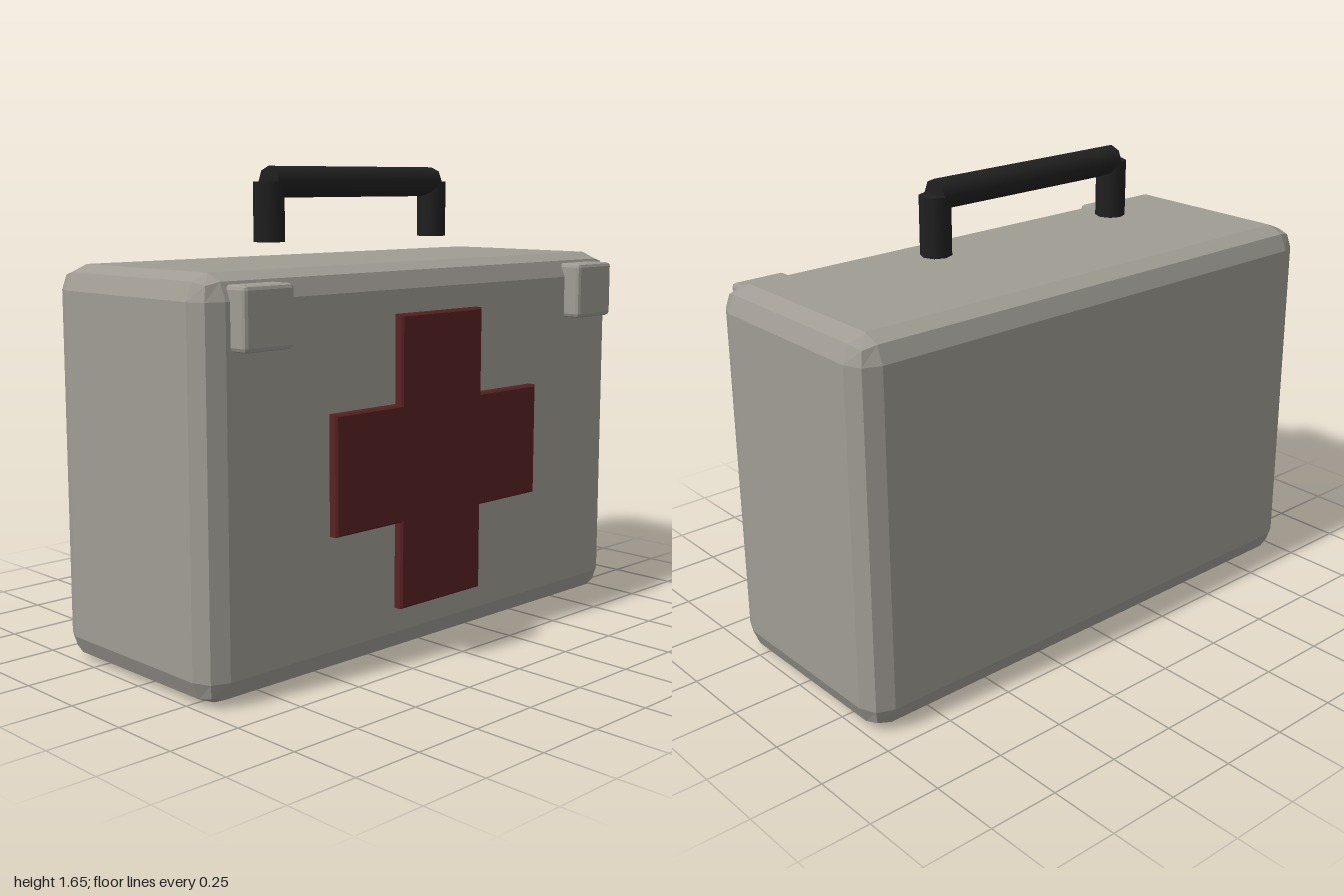
import * as THREE from 'three';
import { RoundedBoxGeometry } from 'three/addons/geometries/RoundedBoxGeometry.js';

export function createModel() {
  const caseGrey = new THREE.MeshStandardMaterial({ color: 0xa09c94, flatShading: true });
  caseGrey.name = 'case grey';
  const crossRed = new THREE.MeshStandardMaterial({ color: 0x582224, flatShading: true });
  crossRed.name = 'cross red';
  const handleBlack = new THREE.MeshStandardMaterial({ color: 0x202020 });
  handleBlack.name = 'handle black';

  const model = new THREE.Group();
  model.name = 'medicalCase';

  const add = (name, geometry, material, x, y, z, parent = model) => {
    const mesh = new THREE.Mesh(geometry, material);
    mesh.name = name;
    mesh.position.set(x, y, z);
    parent.add(mesh);
    return mesh;
  };

  // Case with two-step chamfered edges
  add('caseBody', new RoundedBoxGeometry(2, 1.333, 0.8, 1, 0.083), caseGrey, 0, 0.667, -0.033);

  // Raised cross on the front
  const a = 0.193, b = 0.493, bevel = 0.007;
  const outline = [[a, b], [-a, b], [-a, a], [-b, a], [-b, -a], [-a, -a],
    [-a, -b], [a, -b], [a, -a], [b, -a], [b, a], [a, a]];
  const cross = new THREE.Shape(outline.map(([x, y]) => new THREE.Vector2(x, y)));
  const crossGeometry = new THREE.ExtrudeGeometry(cross, {
    depth: 0.05, bevelEnabled: true, bevelSize: bevel, bevelThickness: bevel, bevelSegments: 1,
  });
  add('frontCross', crossGeometry, crossRed, 0, 0.67, 0.343);

  // Latches near the upper front corners
  for (const side of [1, -1]) {
    add(side > 0 ? 'leftLatch' : 'rightLatch',
      new RoundedBoxGeometry(0.2, 0.2, 0.1, 1, 0.014), caseGrey, side * 0.8, 1.2, 0.383);
  }

  // Carrying handle: two posts and a grip
  const handle = new THREE.Group();
  handle.name = 'handle';
  model.add(handle);
  const radius = 0.053;
  for (const side of [1, -1]) {
    add(side > 0 ? 'leftPost' : 'rightPost',
      new THREE.CylinderGeometry(radius, radius, 0.2, 8), handleBlack, side * 0.4, 1.5, -0.033, handle);
  }
  const grip = add('grip', new THREE.CylinderGeometry(radius, radius, 0.8, 8), handleBlack,
    0, 1.6, -0.033, handle);
  grip.rotation.z = Math.PI / 2;

  return model;
}
